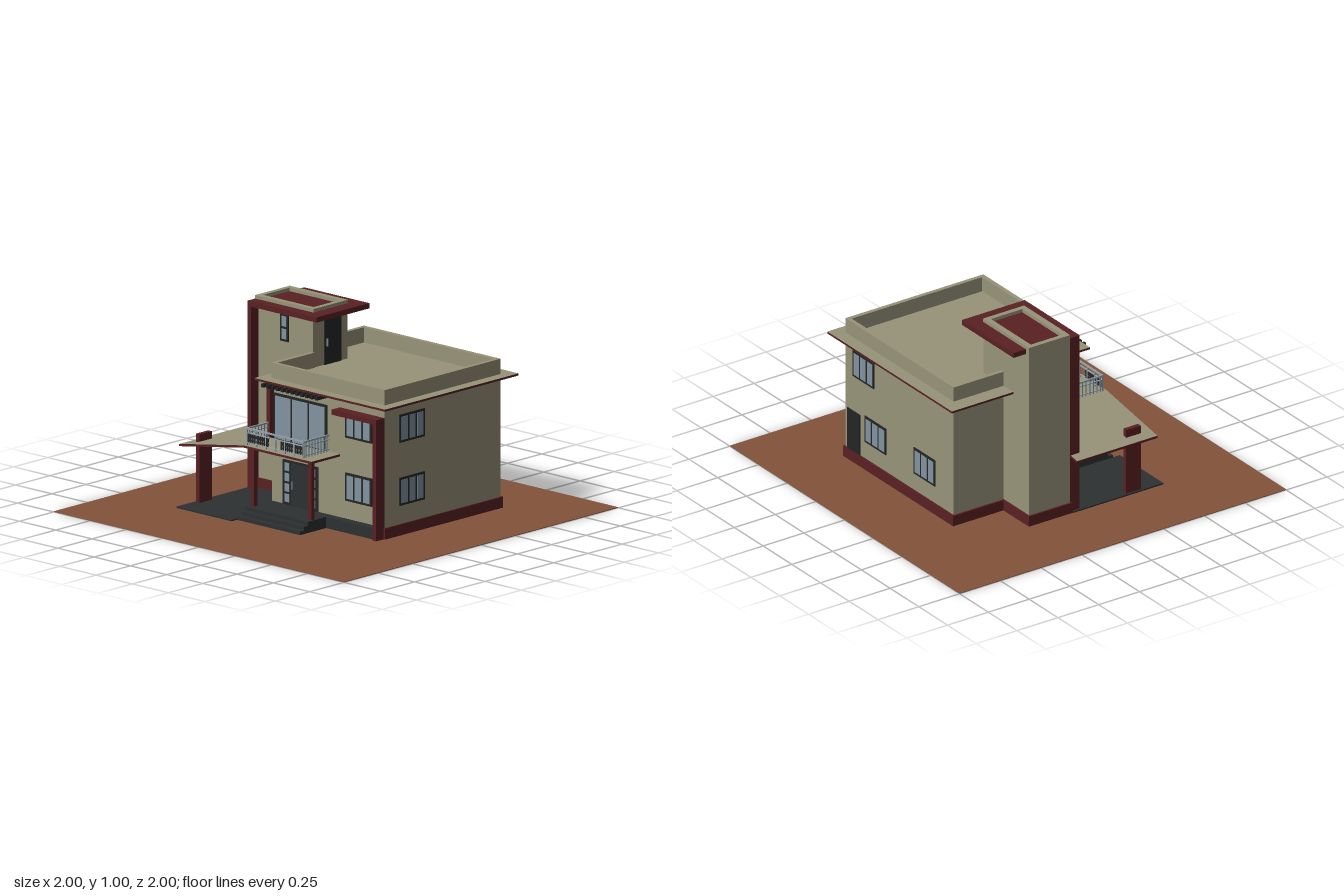
import * as THREE from 'three';

const mat = (name, color, side = THREE.FrontSide) => {
  const m = new THREE.MeshStandardMaterial({ color, side });
  m.name = name;
  return m;
};

export function createModel() {
  const wall = mat('wall beige', 0x98947a);
  const red = mat('trim red', 0x5a2022);
  const earth = mat('ground brown', 0x82523a);
  const dark = mat('step charcoal', 0x2d3131);
  const frame = mat('frame black', 0x242626);
  const glass = mat('glass blue', 0x8193a0);
  const rail = mat('railing grey', 0x95a2a9);

  const root = new THREE.Group();
  root.name = 'house';

  // Box given by its limits on each axis
  const box = (name, m, x0, x1, y0, y1, z0, z1, parent = root) => {
    const mesh = new THREE.Mesh(new THREE.BoxGeometry(x1 - x0, y1 - y0, z1 - z0), m);
    mesh.position.set((x0 + x1) / 2, (y0 + y1) / 2, (z0 + z1) / 2);
    mesh.name = name;
    parent.add(mesh);
    return mesh;
  };

  // Floor-plan outline of [x, z] points raised from y0 to y1
  const slab = (name, pts, y0, y1, cap, edge = cap) => {
    const shape = new THREE.Shape(pts.map(([x, z]) => new THREE.Vector2(x, -z)));
    const geo = new THREE.ExtrudeGeometry(shape, { depth: y1 - y0, bevelEnabled: false });
    geo.rotateX(-Math.PI / 2);
    const mesh = new THREE.Mesh(geo, [cap, edge]);
    mesh.position.y = y0;
    mesh.name = name;
    root.add(mesh);
  };

  // Framed window facing +z, with a grid of panes
  const panes = (parent, x0, x1, y0, y1, cols, rows, z, gap = 0.012) => {
    const w = (x1 - x0) / cols, h = (y1 - y0) / rows;
    for (let i = 0; i < cols; i++) for (let j = 0; j < rows; j++)
      box('pane', glass, x0 + i * w + gap / 2, x0 + (i + 1) * w - gap / 2,
        y0 + j * h + gap / 2, y0 + (j + 1) * h - gap / 2, z, z + 0.003, parent);
  };
  const windowUnit = (name, x, y, z, w, h, cols, rows, turn = 0) => {
    const g = new THREE.Group();
    g.name = name;
    box('windowFrame', frame, -w / 2, w / 2, -h / 2, h / 2, -0.006, 0.006, g);
    panes(g, -w / 2 + 0.006, w / 2 - 0.006, -h / 2 + 0.006, h / 2 - 0.006, cols, rows, 0.005);
    g.position.set(x, y, z);
    g.rotation.y = turn;
    root.add(g);
  };

  // Ground and plinth
  box('ground', earth, -1, 1, 0, 0.003, -1, 1);
  slab('plinth', [[0.585, -0.6], [0.585, 0.262], [-0.21, 0.262], [-0.21, -0.022], [-0.597, -0.022],
    [-0.597, -0.292], [-0.375, -0.292], [-0.375, -0.6]], 0.001, 0.06, red);

  // Main walls and stair tower
  slab('mainWalls', [[0.577, -0.59], [0.577, 0.255], [-0.2, 0.255], [-0.2, -0.1], [-0.365, -0.1],
    [-0.365, -0.59]], 0.05, 0.69, wall);
  box('stairTower', wall, -0.587, -0.188, 0.05, 0.979, -0.283, -0.032);

  // Main roof slab and parapet
  slab('roofSlab', [[0.635, -0.66], [0.635, 0.315], [-0.265, 0.315], [-0.265, -0.1], [-0.45, -0.1],
    [-0.45, -0.66]], 0.685, 0.696, wall, red);
  const T = 0.023;
  box('parapetBack', wall, -0.365, 0.577, 0.69, 0.775, -0.59, -0.59 + T);
  box('parapetFront', wall, -0.205, 0.577, 0.69, 0.775, 0.255 - T, 0.255);
  box('parapetLeft', wall, 0.577 - T, 0.577, 0.69, 0.775, -0.59 + T, 0.255 - T);
  box('parapetRightFront', wall, -0.205, -0.205 + T, 0.69, 0.775, -0.04, 0.255 - T);
  box('parapetRightBack', wall, -0.365, -0.365 + T, 0.69, 0.775, -0.59 + T, -0.27);

  // Tower roof, rim, tall fin and roof door
  slab('towerRoof', [[-0.588, 0.025], [-0.11, 0.025], [-0.11, -0.36], [-0.56, -0.36], [-0.56, -0.03],
    [-0.588, -0.03]], 0.955, 0.982, red);
  box('towerRimFront', wall, -0.588, -0.187, 0.975, 1, -0.063, -0.033);
  box('towerRimBack', wall, -0.588, -0.187, 0.975, 1, -0.285, -0.255);
  box('towerRimRight', wall, -0.588, -0.561, 0.975, 1, -0.255, -0.063);
  box('towerRimLeft', wall, -0.214, -0.187, 0.975, 1, -0.255, -0.063);
  box('towerFin', red, -0.588, -0.563, 0.001, 0.96, -0.033, 0.025);
  box('towerDoor', frame, -0.19, -0.182, 0.696, 0.928, -0.232, -0.112);
  box('towerDoorHandle', rail, -0.183, -0.178, 0.79, 0.83, -0.132, -0.125);

  // Corner fin and hood around the front windows
  box('cornerFin', red, 0.55, 0.576, 0.001, 0.63, 0.25, 0.317);
  box('windowHood', red, 0.268, 0.55, 0.604, 0.63, 0.25, 0.317);

  // Porch floor, steps, terrace and carport floor
  box('porchFloor', dark, -0.218, 0.215, 0.001, 0.061, 0.24, 0.43);
  box('stepUpper', dark, -0.218, 0.215, 0.001, 0.041, 0.43, 0.46);
  box('stepLower', dark, -0.218, 0.215, 0.001, 0.021, 0.46, 0.49);
  box('terrace', dark, 0.215, 0.55, 0.001, 0.061, 0.25, 0.3);
  box('carportFloor', dark, -0.6, -0.22, 0.001, 0.01, -0.02, 0.53);

  // Porch canopy, flat over the door and sloping over the carport
  slab('porchCanopy', [[0.268, 0.25], [0.268, 0.462], [-0.2, 0.462], [-0.2, 0.25]], 0.375, 0.387, wall, red);
  const slope = new THREE.Shape([[-0.643, 0.302], [-0.2, 0.375], [-0.2, 0.387], [-0.643, 0.314]]
    .map(([x, y]) => new THREE.Vector2(x, y)));
  const carport = new THREE.Mesh(
    new THREE.ExtrudeGeometry(slope, { depth: 0.492, bevelEnabled: false }), [red, wall]);
  carport.position.z = -0.03;
  carport.name = 'carportCanopy';
  root.add(carport);
  box('carportEdge', red, -0.645, -0.642, 0.302, 0.313, -0.03, 0.462);

  // Posts
  box('carportPost', red, -0.588, -0.563, 0.001, 0.365, 0.31, 0.4);
  for (const x of [-0.197, 0.197]) box('porchPost', red, x - 0.011, x + 0.011, 0.06, 0.376, 0.377, 0.4);
  box('balconyPost', red, -0.208, -0.186, 0.385, 0.686, 0.25, 0.285);

  // Pergola bars over the balcony
  for (let i = 0; i < 12; i++) {
    const x = -0.185 + i * 0.0335;
    box('pergolaBar', frame, x - 0.008, x + 0.008, 0.667, 0.685, 0.25, 0.342);
  }

  // Balcony railing: rails, balusters and dark lattice panels
  for (const [y, t] of [[0.468, 0.008], [0.448, 0.004], [0.398, 0.004]]) {
    box('railFront', rail, -0.2, 0.197, y, y + t, 0.436, 0.444);
    for (const x of [-0.2, 0.189]) box('railSide', rail, x, x + 0.008, y, y + t, 0.255, 0.436);
  }
  for (let i = 0; i <= 6; i++) {
    const x = -0.2 + i * 0.0648;
    box('railPost', rail, x, x + 0.007, 0.387, 0.47, 0.436, 0.443);
  }
  for (let i = 0; i < 8; i++) for (const x of [-0.199, 0.19])
    box('sideBaluster', rail, x, x + 0.006, 0.387, 0.47, 0.27 + i * 0.022, 0.276 + i * 0.022);
  for (const [x0, x1] of [[-0.188, -0.05], [0.035, 0.186]]) {
    box('panelBar', frame, x0, x1, 0.428, 0.442, 0.437, 0.443);
    box('panelBar', frame, x0, x1, 0.41, 0.416, 0.437, 0.443);
    for (let i = 0; i < 11; i++) {
      const x = x0 + i * (x1 - x0 - 0.007) / 10;
      box('panelBaluster', frame, x, x + 0.007, 0.402, 0.446, 0.438, 0.442);
    }
  }

  // Balcony glazing
  windowUnit('balconyGlazing', 0, 0.503, 0.257, 0.365, 0.245, 3, 1);

  // Front door with sidelights
  box('doorFrame', frame, -0.122, 0.122, 0.06, 0.292, 0.25, 0.262);
  box('frontDoor', dark, -0.057, 0.057, 0.061, 0.282, 0.26, 0.266);
  box('doorHandle', rail, -0.052, -0.046, 0.15, 0.19, 0.266, 0.271);
  for (const s of [-1, 1]) panes(root, s * 0.09 - 0.022, s * 0.09 + 0.022, 0.07, 0.285, 1, 4, 0.261);

  // Windows on every side
  for (const y of [0.23, 0.555, 0.87]) windowUnit('towerWindow', -0.383, y, -0.032, 0.056, 0.143, 1, 2);
  for (const y of [0.228, 0.555]) {
    windowUnit('frontWindow', 0.4, y, 0.256, 0.182, 0.145, 3, 1);
    windowUnit('sideWindow', 0.577, y, 0.06, 0.182, 0.145, 3, 1, Math.PI / 2);
  }
  for (const [x, y] of [[0.414, 0.555], [0.31, 0.228], [-0.117, 0.228]])
    windowUnit('backWindow', x, y, -0.59, 0.185, 0.145, 3, 1, Math.PI);
  box('backDoor', frame, 0.446, 0.555, 0.06, 0.285, -0.597, -0.585);

  return root;
}
